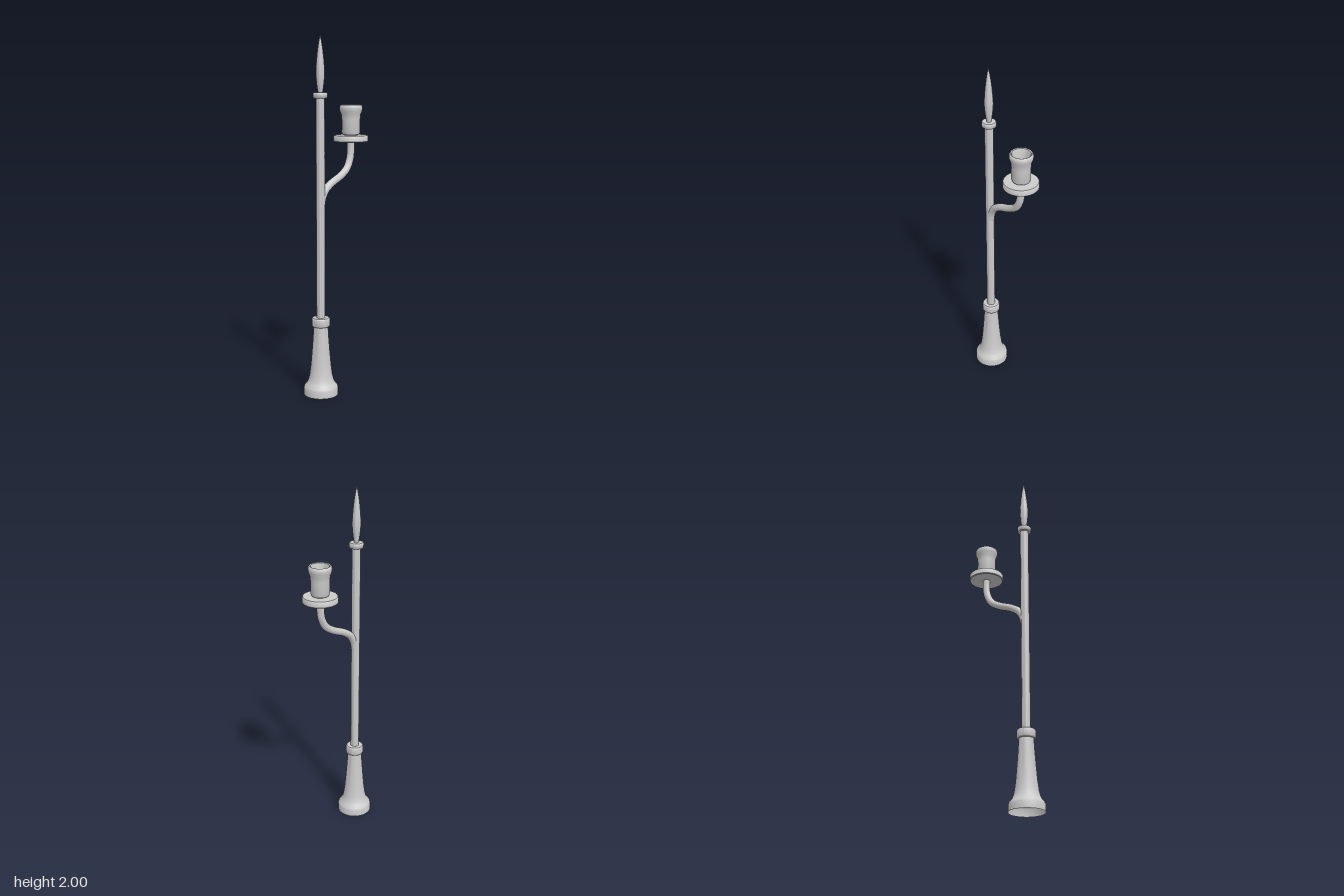
import * as THREE from 'three';
import { toCreasedNormals } from 'three/addons/utils/BufferGeometryUtils.js';

const POLE_Z = 0.131;
const LAMP_Z = -0.131;

export function createModel() {
  const model = new THREE.Group();
  const grey = new THREE.MeshStandardMaterial({ color: 0xcccccc });
  const greyOpen = new THREE.MeshStandardMaterial({ color: 0xcccccc, side: THREE.DoubleSide });

  const add = (name, geometry, material = grey) => {
    const mesh = new THREE.Mesh(geometry, material);
    mesh.name = name;
    model.add(mesh);
    return mesh;
  };

  // Turned part from [radius, height] pairs, running up the outside
  const turned = (name, profile, z, material = grey) => {
    const points = profile.map(([r, y]) => new THREE.Vector2(r, y));
    const lathe = new THREE.LatheGeometry(points, 32);
    add(name, toCreasedNormals(lathe, 0.7), material).position.z = z;
  };

  // Flared foot, open underneath
  turned('base', [
    [0.098, 0], [0.098, 0.038], [0.094, 0.05], [0.08, 0.066], [0.071, 0.085], [0.064, 0.115],
    [0.057, 0.17], [0.05, 0.25], [0.044, 0.33], [0.04, 0.4],
  ], POLE_Z, greyOpen);

  turned('baseCollar', [
    [0.024, 0.394], [0.046, 0.394], [0.051, 0.4], [0.051, 0.438], [0.046, 0.444], [0.024, 0.444],
  ], POLE_Z);

  turned('pole', [[0.024, 0.4], [0.024, 1.68]], POLE_Z);

  turned('topCollar', [
    [0.022, 1.664], [0.036, 1.664], [0.04, 1.669], [0.04, 1.689], [0.036, 1.694], [0, 1.694],
  ], POLE_Z);

  // Flame-shaped spike
  turned('finial', [
    [0.012, 1.69], [0.016, 1.715], [0.021, 1.75], [0.024, 1.79], [0.023, 1.83],
    [0.019, 1.88], [0.013, 1.93], [0.006, 1.975], [0, 2],
  ], POLE_Z);

  // S-curved arm from the pole up to the dish
  const armPath = new THREE.CatmullRomCurve3([
    [1.07, 0.126], [1.115, 0.116], [1.16, 0.088], [1.195, 0.035], [1.225, -0.035],
    [1.265, -0.094], [1.32, -0.123], [1.37, -0.13], [1.42, LAMP_Z],
  ].map(([y, z]) => new THREE.Vector3(0, y, z)));
  add('arm', new THREE.TubeGeometry(armPath, 48, 0.021, 16));

  turned('dish', [
    [0, 1.415], [0.094, 1.415], [0.098, 1.419], [0.098, 1.446], [0.094, 1.451], [0, 1.451],
  ], LAMP_Z);

  // Hollow cup with a rolled lip
  turned('cup', [
    [0.036, 1.449], [0.048, 1.456], [0.052, 1.468], [0.052, 1.54], [0.055, 1.568],
    [0.063, 1.588], [0.065, 1.603], [0.063, 1.615], [0.057, 1.621], [0.051, 1.618],
    [0.048, 1.606], [0.043, 1.57], [0.04, 1.54], [0.039, 1.49], [0.032, 1.475], [0, 1.472],
  ], LAMP_Z, greyOpen);

  return model;
}
